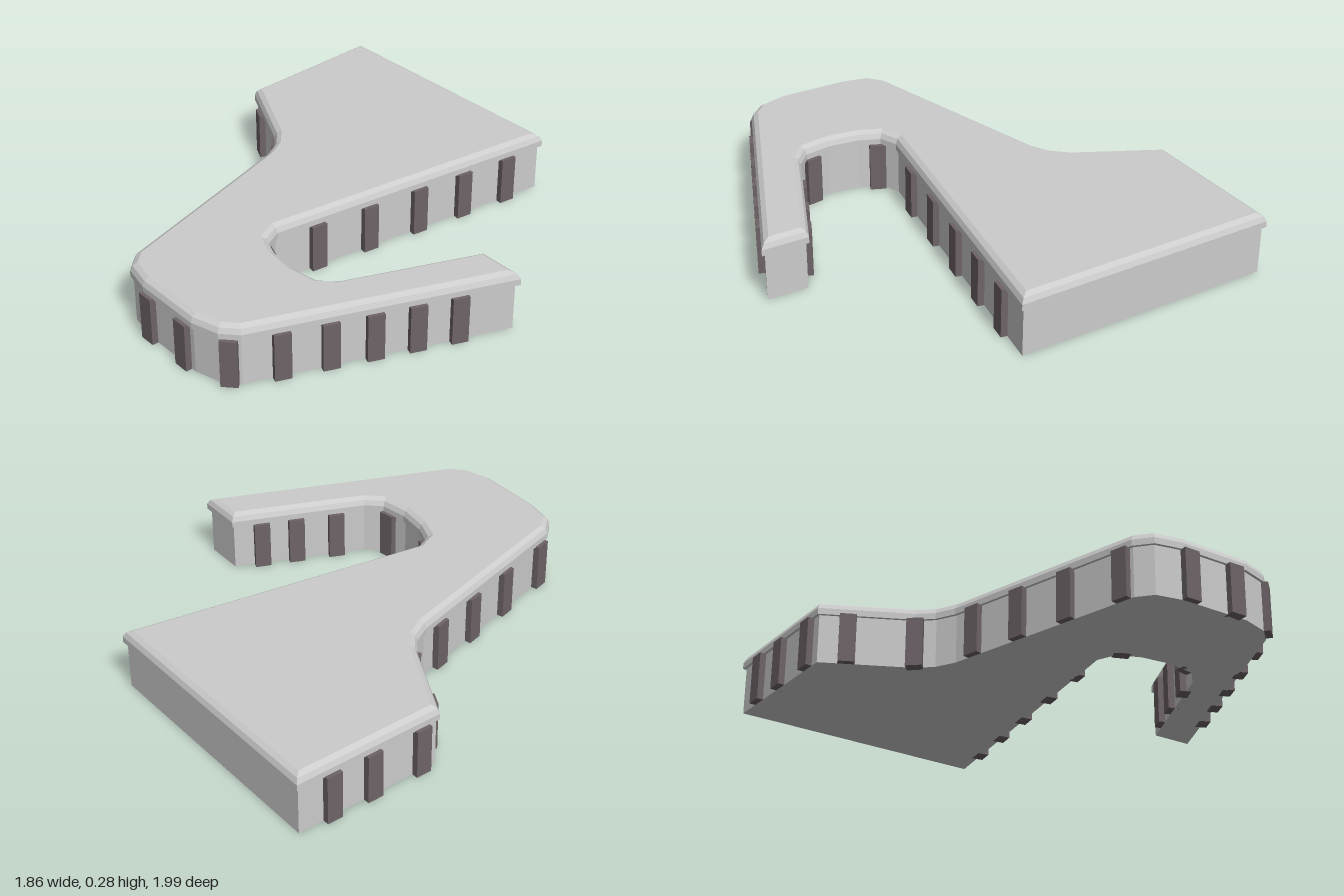
import * as THREE from 'three';

// Plan outline of the hooked deck as [x, z], clockwise seen from above
const outline = [
  [-0.92, -0.97], [0.25, -1.0], [0.055, 0.345], [0.09, 0.42], [0.18, 0.455], [0.31, 0.47],
  [0.43, 0.45], [0.49, 0.385], [0.72, -0.17], [0.925, -0.17], [0.495, 0.88], [0.43, 0.94],
  [0.31, 0.975], [0.0, 0.975], [-0.12, 0.95], [-0.18, 0.885], [-0.43, 0.01], [-0.475, -0.07],
  [-0.54, -0.125], [-0.9, -0.3],
].map(([x, z]) => new THREE.Vector2(x, z));

// Approximate post positions along the wall, snapped to the nearest edge
const postSpots = [
  [-0.91, -0.81], [-0.91, -0.62], [-0.9, -0.385], [-0.79, -0.24], [-0.535, -0.13],
  [-0.41, 0.11], [-0.35, 0.34], [-0.28, 0.575], [-0.2, 0.835], [0.03, 0.98], [0.25, 0.98],
  [0.465, 0.92], [0.57, 0.74], [0.645, 0.56], [0.705, 0.39], [0.775, 0.23], [0.845, 0.07],
  [0.665, -0.05], [0.605, 0.095], [0.525, 0.26], [0.4, 0.445], [0.105, 0.42],
  [0.095, 0.155], [0.125, -0.1], [0.16, -0.35], [0.195, -0.58], [0.225, -0.81],
];

const outward = (a, b) => new THREE.Vector2(b.y - a.y, a.x - b.x).normalize();

// Moves every edge inward by d with mitred corners
function inset(pts, d) {
  return pts.map((p, i) => {
    const n1 = outward(pts.at(i - 1), p);
    const n2 = outward(p, pts[(i + 1) % pts.length]);
    const m = n1.clone().add(n2);
    return p.clone().addScaledVector(m, -d / (1 + n1.dot(n2)));
  });
}

// Closed solid through stacked copies of the outline: levels are [inset, y]
function layeredSolid(levels) {
  const rings = levels.map(([d, y]) => inset(outline, d).map(p => new THREE.Vector3(p.x, y, p.y)));
  const pos = [];
  const tri = (...v) => v.forEach(p => pos.push(p.x, p.y, p.z));
  for (let k = 0; k < rings.length - 1; k++) {
    const lo = rings[k], hi = rings[k + 1];
    for (let i = 0; i < lo.length; i++) {
      const j = (i + 1) % lo.length;
      tri(lo[i], hi[i], hi[j]);
      tri(lo[i], hi[j], lo[j]);
    }
  }
  const cap = (ring, up) => {
    const flat = ring.map(p => new THREE.Vector2(p.x, p.z));
    for (const [a, b, c] of THREE.ShapeUtils.triangulateShape(flat, [])) {
      const facesUp = THREE.ShapeUtils.area([flat[a], flat[b], flat[c]]) < 0;
      if (facesUp === up) tri(ring[a], ring[b], ring[c]);
      else tri(ring[a], ring[c], ring[b]);
    }
  };
  cap(rings[0], false);
  cap(rings.at(-1), true);
  const g = new THREE.BufferGeometry();
  g.setAttribute('position', new THREE.Float32BufferAttribute(pos, 3));
  g.computeVertexNormals();
  return g;
}

// Nearest wall point and outward direction for a spot
function snapToWall(spot, wall) {
  let best = { dist: Infinity };
  wall.forEach((a, i) => {
    const b = wall[(i + 1) % wall.length];
    const ab = b.clone().sub(a);
    const t = THREE.MathUtils.clamp(spot.clone().sub(a).dot(ab) / ab.lengthSq(), 0, 1);
    const point = a.clone().addScaledVector(ab, t);
    const dist = point.distanceTo(spot);
    if (dist < best.dist) best = { dist, point, normal: outward(a, b) };
  });
  return best;
}

export function createModel() {
  const group = new THREE.Group();
  const stone = new THREE.MeshStandardMaterial({ color: 0xcccccc, flatShading: true });
  const wood = new THREE.MeshStandardMaterial({ color: 0x6e6468, flatShading: true });
  const add = (name, geometry, material, parent = group) => {
    const mesh = new THREE.Mesh(geometry, material);
    mesh.name = name;
    parent.add(mesh);
    return mesh;
  };

  // Vertical wall and the overhanging chamfered deck rim
  add('wall', layeredSolid([[0.012, 0], [0.012, 0.215]]), stone);
  add('deck', layeredSolid([[0, 0.213], [0, 0.24], [0.01, 0.262], [0.03, 0.275]]), stone);

  // Upright posts standing against the wall
  const posts = new THREE.Group();
  posts.name = 'posts';
  group.add(posts);
  const postGeometry = new THREE.BoxGeometry(0.07, 0.215, 0.05);
  const wall = inset(outline, 0.012);
  for (const [x, z] of postSpots) {
    const { point, normal } = snapToWall(new THREE.Vector2(x, z), wall);
    const post = add('post', postGeometry, wood, posts);
    post.position.set(point.x + normal.x * 0.003, 0.1075, point.y + normal.y * 0.003);
    post.rotation.y = Math.atan2(normal.x, normal.y);
  }
  return group;
}
